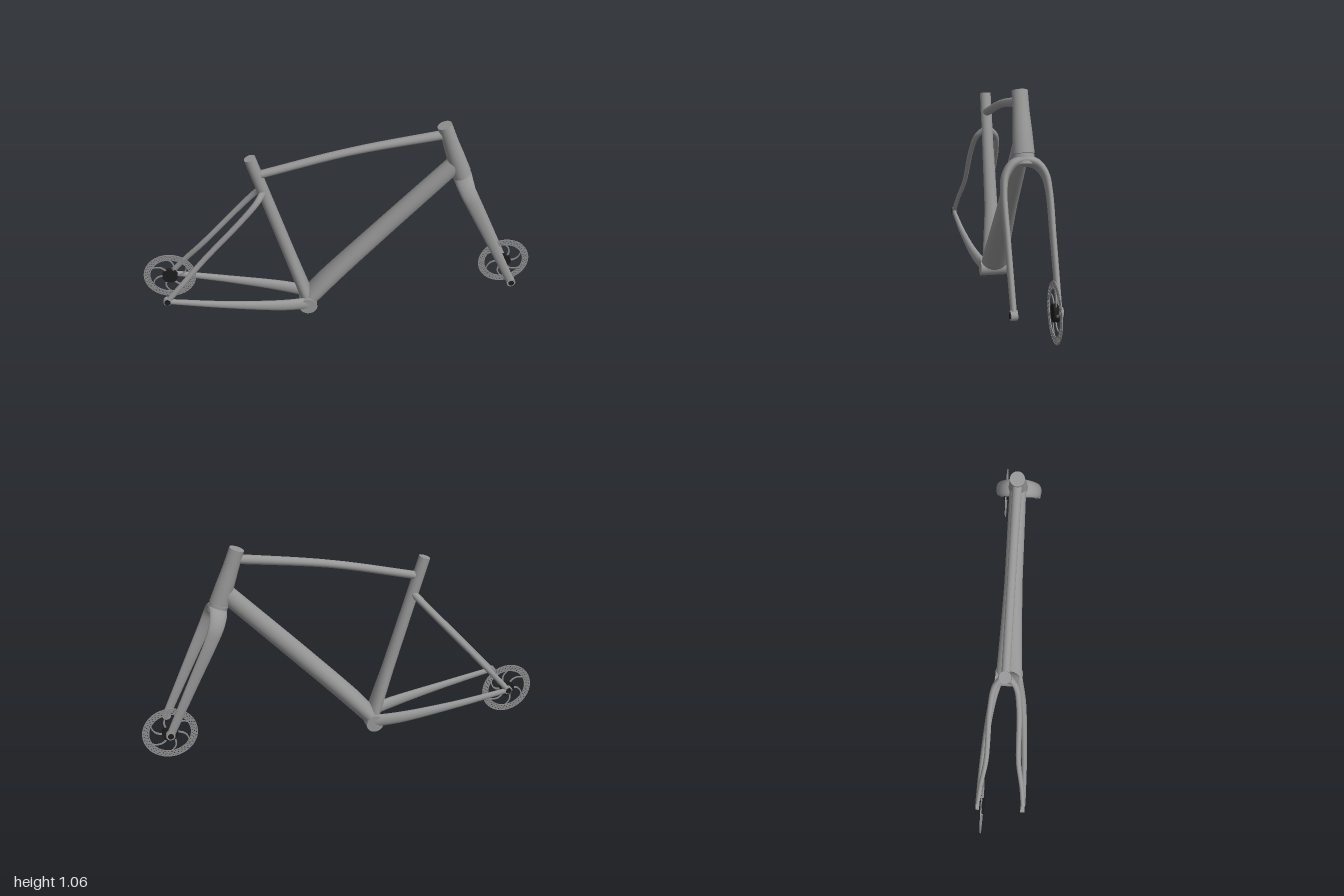
import * as THREE from 'three';

const frameGrey = new THREE.MeshStandardMaterial({ name: 'frame grey', color: 0x969696 });
const rotorGrey = new THREE.MeshStandardMaterial({ name: 'rotor grey', color: 0x8c8c8c });
const hubBlack = new THREE.MeshStandardMaterial({ name: 'hub black', color: 0x1c1c1c });

const Z = new THREE.Vector3(0, 0, 1);

// Sweeps an oval section along points [x, y, z, radius along ref, radius across ref].
function sweep(name, pts, ref = Z, steps = 28, sides = 24) {
  const path = new THREE.CatmullRomCurve3(pts.map(p => new THREE.Vector3(p[0], p[1], p[2])), false, 'centripetal');
  const pos = [], index = [];
  const rings = [];
  for (let i = 0; i <= steps; i++) {
    const t = i / steps, c = path.getPoint(t), T = path.getTangent(t);
    const R = ref.clone().addScaledVector(T, -ref.dot(T)).normalize();
    const S = new THREE.Vector3().crossVectors(T, R);
    const u = t * (pts.length - 1), k = Math.min(Math.floor(u), pts.length - 2);
    const ra = THREE.MathUtils.lerp(pts[k][3], pts[k + 1][3], u - k);
    const rb = THREE.MathUtils.lerp(pts[k][4], pts[k + 1][4], u - k);
    const ring = [];
    for (let j = 0; j < sides; j++) {
      const a = j / sides * Math.PI * 2;
      const p = c.clone().addScaledVector(R, Math.cos(a) * ra).addScaledVector(S, Math.sin(a) * rb);
      ring.push(p);
      pos.push(p.x, p.y, p.z);
    }
    rings.push({ c, ring });
  }
  for (let i = 0; i < steps; i++) for (let j = 0; j < sides; j++) {
    const n = (j + 1) % sides, a = i * sides + j, b = i * sides + n;
    index.push(a, b, b + sides, a, b + sides, a + sides);
  }
  // Flat end caps with their own vertices
  for (const end of [0, steps]) {
    const base = pos.length / 3, { c, ring } = rings[end];
    ring.forEach(p => pos.push(p.x, p.y, p.z));
    pos.push(c.x, c.y, c.z);
    for (let j = 0; j < sides; j++) {
      const n = (j + 1) % sides;
      if (end) index.push(base + sides, base + j, base + n);
      else index.push(base + sides, base + n, base + j);
    }
  }
  const g = new THREE.BufferGeometry();
  g.setAttribute('position', new THREE.Float32BufferAttribute(pos, 3));
  g.setIndex(index);
  g.computeVertexNormals();
  const m = new THREE.Mesh(g, frameGrey);
  m.name = name;
  return m;
}

// Cylinder lying along z between z0 and z1
function barrel(name, x, y, z0, z1, r, material, sides = 24) {
  const g = new THREE.CylinderGeometry(r, r, Math.abs(z1 - z0), sides).rotateX(Math.PI / 2);
  const m = new THREE.Mesh(g, material);
  m.position.set(x, y, (z0 + z1) / 2);
  m.name = name;
  return m;
}

// Perforated brake ring with six curved arms and a dark lock ring
function brakeRotor(name, x, y, z) {
  const group = new THREE.Group();
  group.name = name;
  const thick = 0.004;
  const extrude = (shape, part) => {
    const g = new THREE.ExtrudeGeometry(shape, { depth: thick, bevelEnabled: false, curveSegments: 48 });
    const m = new THREE.Mesh(g.translate(0, 0, -thick / 2), rotorGrey);
    m.name = part;
    group.add(m);
  };

  const ring = new THREE.Shape().absarc(0, 0, 0.133, 0, Math.PI * 2, false);
  ring.holes.push(new THREE.Path().absarc(0, 0, 0.099, 0, Math.PI * 2, true));
  for (let i = 0; i < 40; i++) [0.107, 0.116, 0.125].forEach((r, row) => {
    const a = (i + row / 3) / 40 * Math.PI * 2, hole = [];
    for (let k = 0; k < 6; k++) {
      const b = -k / 6 * Math.PI * 2;
      hole.push(new THREE.Vector2(r * Math.cos(a) + 0.0036 * Math.cos(b), r * Math.sin(a) + 0.0036 * Math.sin(b)));
    }
    ring.holes.push(new THREE.Path(hole));
  });
  extrude(ring, 'brakeRing');

  for (let i = 0; i < 6; i++) {
    const left = [], right = [];
    for (let k = 0; k <= 8; k++) {
      const t = k / 8, r = 0.03 + 0.073 * t;
      const a = i / 6 * Math.PI * 2 + 0.55 * t * t, w = 0.0045 / r;
      left.push(new THREE.Vector2(r * Math.cos(a + w), r * Math.sin(a + w)));
      right.unshift(new THREE.Vector2(r * Math.cos(a - w), r * Math.sin(a - w)));
    }
    extrude(new THREE.Shape([...left, ...right]), 'rotorArm');
  }
  group.add(barrel('lockRing', 0, 0, -0.012, 0.01, 0.039, hubBlack, 16));
  group.position.set(x, y, z);
  return group;
}

export function createModel() {
  const model = new THREE.Group();
  const rear = [-0.867, 0.167], front = [0.865, 0.167];

  // Main triangle
  model.add(
    sweep('seatTube', [[-0.421, 0.912, 0, 0.028, 0.028], [-0.355, 0.69, 0, 0.029, 0.029],
      [-0.25, 0.335, 0, 0.034, 0.031], [-0.168, 0.06, 0, 0.06, 0.034]]),
    sweep('topTube', [[-0.385, 0.818, 0, 0.02, 0.02], [0.05, 0.925, 0, 0.02, 0.019], [0.5, 0.998, 0, 0.023, 0.023]]),
    sweep('downTube', [[-0.16, 0.06, 0, 0.07, 0.042], [-0.06, 0.178, 0, 0.062, 0.047],
      [0.2, 0.46, 0, 0.046, 0.047], [0.55, 0.832, 0, 0.04, 0.044]]),
    sweep('headTube', [[0.487, 1.046, 0, 0.035, 0.035], [0.519, 0.958, 0, 0.037, 0.037],
      [0.551, 0.87, 0, 0.043, 0.043], [0.582, 0.785, 0, 0.047, 0.047]]),
    barrel('bottomBracket', -0.166, 0.047, -0.072, 0.072, 0.045, frameGrey, 32)
  );

  // Rear stays, dropouts and axle caps, mirrored
  for (const s of [1, -1]) {
    model.add(
      sweep('chainStay', [[-0.166, 0.053, s * 0.05, 0.022, 0.034], [-0.3, 0.072, s * 0.078, 0.02, 0.031],
        [-0.58, 0.117, s * 0.103, 0.015, 0.02], [rear[0], rear[1], s * 0.114, 0.011, 0.014]]),
      sweep('seatStay', [[-0.365, 0.73, s * 0.015, 0.015, 0.017], [-0.4, 0.69, s * 0.05, 0.014, 0.015],
        [-0.48, 0.6, s * 0.068, 0.013, 0.014], [-0.68, 0.378, s * 0.078, 0.012, 0.014],
        [-0.78, 0.266, s * 0.1, 0.011, 0.014], [rear[0], rear[1], s * 0.113, 0.011, 0.014]]),
      barrel('rearDropout', ...rear, s * 0.1, s * 0.121, 0.021, frameGrey),
      barrel('rearAxleCap', ...rear, s * 0.108, s * 0.126, 0.015, hubBlack),
      barrel('forkDropout', ...front, s * 0.082, s * 0.111, 0.022, frameGrey),
      barrel('frontAxleCap', ...front, s * 0.1, s * 0.115, 0.014, hubBlack)
    );
  }

  // One-piece fork: up one blade, over the crown, down the other
  const blade = [[0.865, 0.165, 0.096, 0.02, 0.013], [0.73, 0.452, 0.098, 0.027, 0.014],
    [0.643, 0.635, 0.098, 0.032, 0.015], [0.614, 0.7, 0.086, 0.037, 0.018], [0.597, 0.743, 0.052, 0.042, 0.022]];
  const mirrored = blade.map(([x, y, z, a, b]) => [x, y, -z, a, b]).reverse();
  model.add(
    sweep('fork', [...blade, [0.592, 0.758, 0, 0.046, 0.025], ...mirrored], new THREE.Vector3(0.92, 0.39, 0), 80),
    sweep('forkCrown', [[0.582, 0.783, 0, 0.045, 0.045], [0.598, 0.741, 0, 0.047, 0.045]], Z, 4)
  );

  // Brake rotors on the right-hand side
  model.add(brakeRotor('rearRotor', ...rear, -0.09), brakeRotor('frontRotor', ...front, -0.077));
  return model;
}
